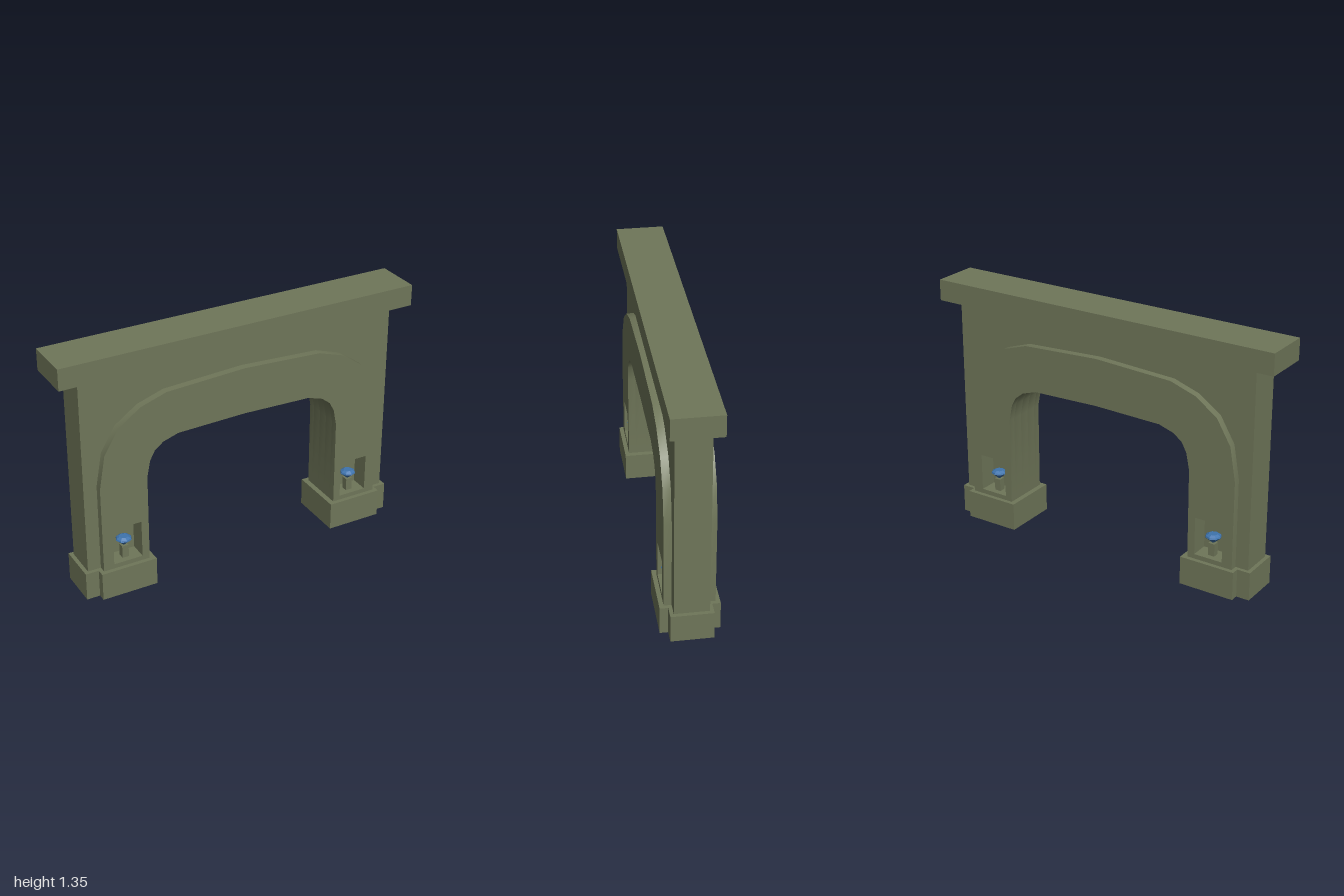
import * as THREE from 'three';
import { toCreasedNormals } from 'three/addons/utils/BufferGeometryUtils.js';

const stone = new THREE.MeshStandardMaterial({ color: 0x6f7659 });
stone.name = 'mossy stone';
const blue = new THREE.MeshStandardMaterial({ color: 0x3f74ad });
blue.name = 'blue crystal';

const FLOOR = 0.15;
// Right halves of the arch curves, from the foot up to the crown
const inner = [[0.56, FLOOR], [0.558, 0.64], [0.54, 0.73], [0.513, 0.78], [0.465, 0.818], [0.38, 0.845], [0, 0.855]];
const outer = [[0.818, FLOOR], [0.818, 0.64], [0.786, 0.823], [0.706, 0.957], [0.583, 1.043], [0.44, 1.09], [0, 1.112]];
const wallEdge = [[0.89, FLOOR], [0.89, 1.24], [0, 1.24]];

// Mirror a half curve into one running from right foot to left foot
const mirrored = half => [...half, ...half.slice(0, -1).reverse().map(([x, y]) => [-x, y])];

// Shape between an outside curve and the arch opening, optionally with niche holes
function archShape(outside, niches) {
  const pts = [...mirrored(outside), ...mirrored(inner).reverse()];
  const shape = new THREE.Shape(pts.map(p => new THREE.Vector2(...p)));
  if (niches) {
    for (const s of [-1, 1]) {
      const a = s * 0.68 - 0.08, b = s * 0.68 + 0.08;
      shape.holes.push(new THREE.Path([[a, 0.18], [a, 0.387], [b, 0.387], [b, 0.18]].map(p => new THREE.Vector2(...p))));
    }
  }
  return shape;
}

export function createModel() {
  const model = new THREE.Group();
  model.name = 'stoneArch';

  const add = (name, geometry, material, x = 0, y = 0, z = 0) => {
    const mesh = new THREE.Mesh(geometry, material);
    mesh.name = name;
    mesh.position.set(x, y, z);
    model.add(mesh);
    return mesh;
  };
  const slab = (name, shape, z0, z1) => {
    const g = new THREE.ExtrudeGeometry(shape, { depth: z1 - z0, bevelEnabled: false });
    add(name, toCreasedNormals(g, 0.6), stone, 0, 0, z0);
  };

  // Wall: solid core, pierced outer layers, and raised arch bands on both faces
  slab('wallCore', archShape(wallEdge, false), -0.03, 0.03);
  slab('wallFront', archShape(wallEdge, true), 0.03, 0.09);
  slab('wallBack', archShape(wallEdge, true), -0.09, -0.03);
  slab('archBandFront', archShape(outer, true), 0.09, 0.13);
  slab('archBandBack', archShape(outer, true), -0.13, -0.09);

  // Capstone
  add('capstone', new THREE.BoxGeometry(2, 0.115, 0.256), stone, 0, 1.2925, 0);

  // Faceted crystal profile
  const gemProfile = [[0, 0.245], [0.043, 0.283], [0.04, 0.291], [0.024, 0.3], [0, 0.3]].map(p => new THREE.Vector2(...p));
  const gem = new THREE.LatheGeometry(gemProfile, 8).toNonIndexed();
  gem.computeVertexNormals();

  for (const s of [-1, 1]) {
    // Stepped plinth
    add('plinth', new THREE.BoxGeometry(0.308, 0.155, 0.306), stone, s * 0.685, 0.0775, 0);
    add('plinthStep', new THREE.BoxGeometry(0.073, 0.155, 0.22), stone, s * 0.8745, 0.0775, 0);
    // Pedestal and crystal in each niche, front and back
    for (const f of [-1, 1]) {
      add('pedestal', new THREE.BoxGeometry(0.036, 0.07, 0.036), stone, s * 0.68, 0.214, f * 0.08);
      add('crystal', gem, blue, s * 0.68, 0, f * 0.08);
    }
  }
  return model;
}
